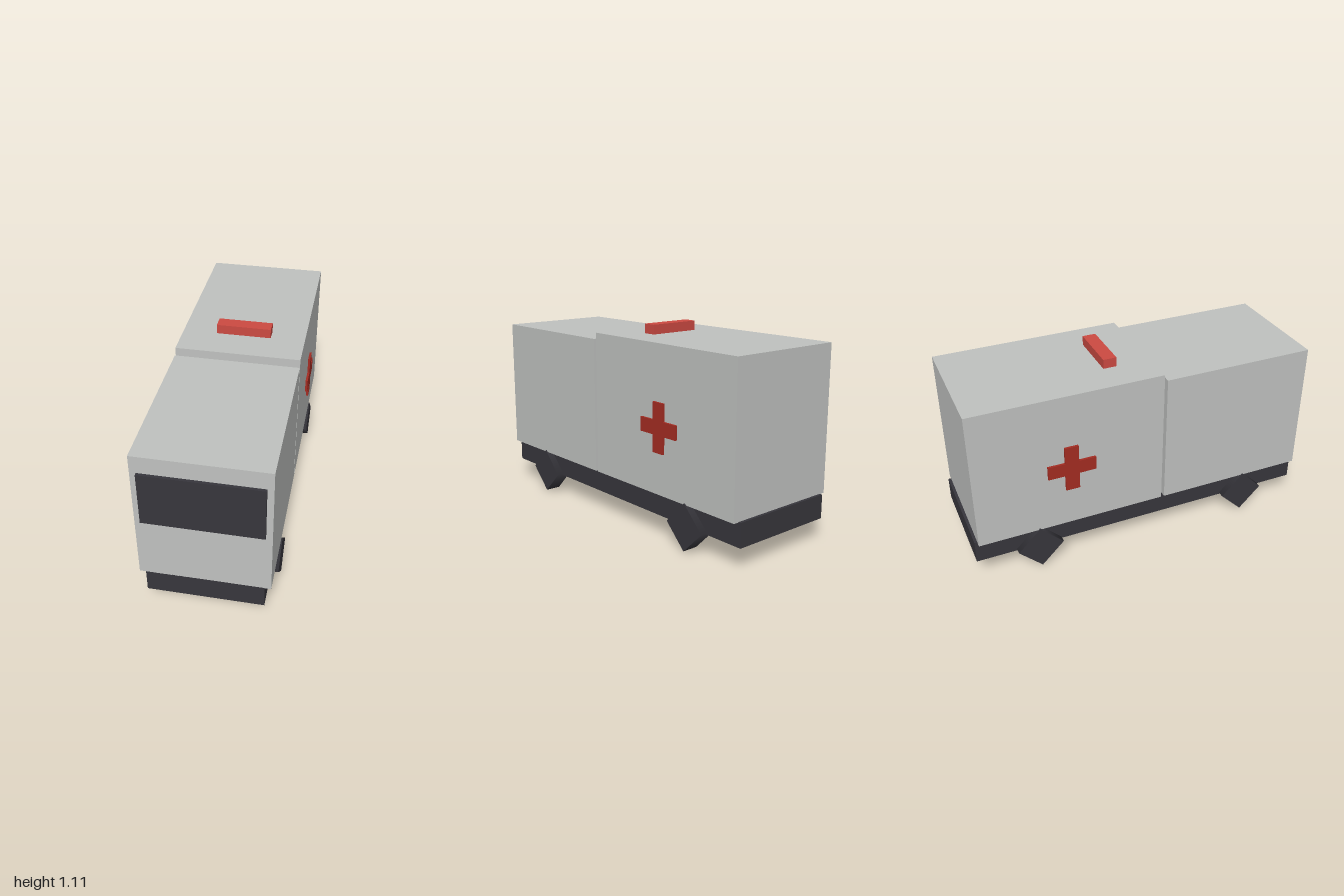
import * as THREE from 'three';

const paint = (name, color) => {
  const m = new THREE.MeshStandardMaterial({ color });
  m.name = name;
  return m;
};

export function createModel() {
  const model = new THREE.Group();
  model.name = 'ambulance';

  const white = paint('bodyGrey', 0xc0c2c0);
  const dark = paint('darkGrey', 0x37363c);
  const red = paint('crossRed', 0xa42c22);
  const lightRed = paint('beaconRed', 0xcc4a42);

  // Box given by its lower and upper limits on each axis
  const box = (name, mat, [x0, x1], [y0, y1], [z0, z1], parent = model) => {
    const mesh = new THREE.Mesh(new THREE.BoxGeometry(x1 - x0, y1 - y0, z1 - z0), mat);
    mesh.position.set((x0 + x1) / 2, (y0 + y1) / 2, (z0 + z1) / 2);
    mesh.name = name;
    parent.add(mesh);
  };

  // Body: chassis, cab and the taller rear compartment with a gap between
  box('chassis', dark, [-0.31, 0.31], [0.12, 0.252], [-1, 0.984]);
  box('cab', white, [-0.343, 0.343], [0.25, 1.016], [0.108, 0.984]);
  box('rearCompartment', white, [-0.343, 0.343], [0.25, 1.053], [-0.984, 0.09]);
  box('windscreen', dark, [-0.31, 0.31], [0.613, 0.919], [0.98, 1]);
  box('beacon', lightRed, [-0.152, 0.152], [1.05, 1.106], [-0.18, -0.105]);

  // Raised cross on each side, one outline extruded outwards
  const a = 0.135, b = 0.039;
  const cross = new THREE.Shape([
    [-b, -a], [b, -a], [b, -b], [a, -b], [a, b], [b, b],
    [b, a], [-b, a], [-b, b], [-a, b], [-a, -b], [-b, -b],
  ].map(([x, y]) => new THREE.Vector2(x, y)));
  const crossGeo = new THREE.ExtrudeGeometry(cross, { depth: 0.015, bevelEnabled: false });

  // Wheels are four-sided cylinders standing on a corner
  const wheelGeo = new THREE.CylinderGeometry(0.13, 0.13, 0.09, 4);
  wheelGeo.rotateZ(Math.PI / 2);

  for (const [side, s] of [['left', 1], ['right', -1]]) {
    const mark = new THREE.Mesh(crossGeo, red);
    mark.name = side + 'Cross';
    mark.rotation.y = s * Math.PI / 2;
    mark.position.set(s * 0.341, 0.615, -0.445);
    model.add(mark);

    for (const [end, z] of [['Front', 0.628], ['Rear', -0.643]]) {
      const wheel = new THREE.Mesh(wheelGeo, dark);
      wheel.name = side + end + 'Wheel';
      wheel.position.set(s * 0.305, 0.13, z);
      model.add(wheel);
    }
  }
  return model;
}
